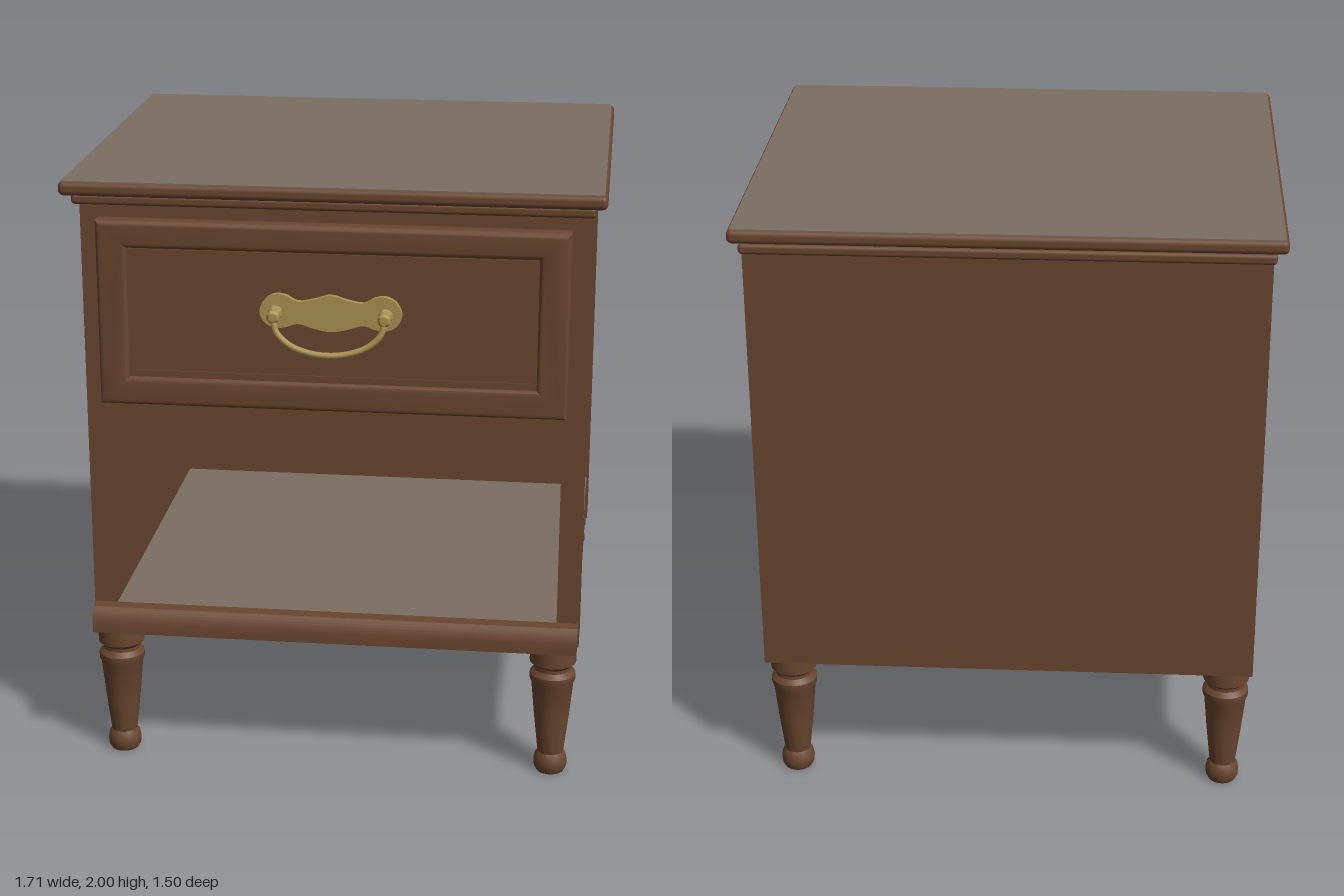
import * as THREE from 'three';
import { toCreasedNormals } from 'three/addons/utils/BufferGeometryUtils.js';
import { RoundedBoxGeometry } from 'three/addons/geometries/RoundedBoxGeometry.js';

const material = (name, color) => {
  const m = new THREE.MeshStandardMaterial({ color });
  m.name = name;
  return m;
};

export function createModel() {
  const model = new THREE.Group();
  model.name = 'nightstand';
  const wood = material('brown wood', 0x6a4630);
  const surface = material('grey brown surface', 0x7b6f62);
  const brass = material('brass', 0xab9150);

  const add = (name, geometry, mat, parent = model) => {
    const mesh = new THREE.Mesh(geometry, mat);
    mesh.name = name;
    parent.add(mesh);
    return mesh;
  };
  // Box given by its limits on each axis, with optional rounded edges
  const box = (name, [x0, x1], [y0, y1], [z0, z1], mat = wood, radius = 0) => {
    const size = [x1 - x0, y1 - y0, z1 - z0];
    const g = radius ? new RoundedBoxGeometry(...size, 3, radius) : new THREE.BoxGeometry(...size);
    g.translate((x0 + x1) / 2, (y0 + y1) / 2, (z0 + z1) / 2);
    return add(name, g, mat);
  };
  const rectangle = (target, w, y0, y1) => {
    target.moveTo(-w, y0);
    target.lineTo(w, y0);
    target.lineTo(w, y1);
    target.lineTo(-w, y1);
    target.closePath();
    return target;
  };

  // Top board with its inlaid surface, and the moulding under it
  box('topBoard', [-0.855, 0.855], [1.952, 1.998], [-0.75, 0.704], wood, 0.018);
  box('topSurface', [-0.845, 0.845], [1.993, 2], [-0.74, 0.694], surface);
  box('topMoulding', [-0.82, 0.82], [1.92, 1.954], [-0.75, 0.675], wood, 0.012);

  // Side frames: stiles, rails and a recessed panel
  for (const s of [-1, 1]) {
    const side = (a, b) => (s > 0 ? [a, b] : [-b, -a]);
    box('frontStile', side(0.735, 0.81), [0.455, 1.925], [0.44, 0.6]);
    box('backStile', side(0.735, 0.81), [0.455, 1.925], [-0.735, -0.575]);
    box('topRail', side(0.735, 0.803), [1.755, 1.925], [-0.575, 0.44]);
    box('bottomRail', side(0.735, 0.803), [0.455, 0.617], [-0.575, 0.44]);
    box('railLip', side(0.785, 0.803), [0.617, 0.62], [-0.575, 0.44], surface);
    box('sidePanel', side(0.735, 0.785), [0.617, 1.755], [-0.575, 0.44]);
  }

  // Back, drawer housing and open shelf
  box('backPanel', [-0.735, 0.735], [0.455, 1.925], [-0.735, -0.715]);
  box('drawerHousing', [-0.735, 0.735], [1.183, 1.925], [-0.715, 0.598]);
  box('shelf', [-0.735, 0.735], [0.455, 0.528], [-0.715, 0.6]);
  box('shelfSurface', [-0.735, 0.735], [0.528, 0.535], [-0.715, 0.6], surface);

  // Shelf ledge with a rounded upper front edge, profile drawn in z and y
  const ledge = new THREE.Shape();
  ledge.moveTo(0.6, 0.455);
  ledge.lineTo(0.67, 0.455);
  ledge.lineTo(0.67, 0.495);
  ledge.quadraticCurveTo(0.664, 0.525, 0.645, 0.54);
  ledge.lineTo(0.6, 0.54);
  ledge.closePath();
  const ledgeGeometry = new THREE.ExtrudeGeometry(ledge, { depth: 1.61, bevelEnabled: false, curveSegments: 5 });
  ledgeGeometry.rotateY(-Math.PI / 2).scale(1, 1, 1);
  ledgeGeometry.translate(0.805, 0, 0);
  add('shelfLedge', toCreasedNormals(ledgeGeometry, 0.6), wood);

  // Drawer front: bevelled frame around a recessed panel
  const frame = rectangle(new THREE.Shape(), 0.75, 1.262, 1.87);
  frame.holes.push(rectangle(new THREE.Path(), 0.65, 1.358, 1.78));
  const frameGeometry = new THREE.ExtrudeGeometry(frame, {
    depth: 0.034, bevelEnabled: true, bevelSize: 0.018, bevelThickness: 0.018, bevelOffset: -0.018, bevelSegments: 3,
  });
  frameGeometry.translate(0, 0, 0.618);
  add('drawerFrame', toCreasedNormals(frameGeometry, 0.6), wood);
  box('drawerPanel', [-0.655, 0.655], [1.35, 1.785], [0.6, 0.657]);
  const bead = rectangle(new THREE.Shape(), 0.65, 1.358, 1.78);
  bead.holes.push(rectangle(new THREE.Path(), 0.63, 1.38, 1.756));
  const beadGeometry = new THREE.ExtrudeGeometry(bead, { depth: 0.006, bevelEnabled: false });
  beadGeometry.translate(0, 0, 0.656);
  add('drawerBead', beadGeometry, wood);

  // Scalloped handle plate, half outline mirrored
  const handle = new THREE.Group();
  handle.name = 'drawerHandle';
  handle.position.set(0, 1.59, 0);
  model.add(handle);
  const half = [[0, 0.06], [0.05, 0.047], [0.105, 0.038], [0.14, 0.056], [0.175, 0.06], [0.208, 0.043],
    [0.226, 0], [0.208, -0.035], [0.175, -0.05], [0.14, -0.046], [0.105, -0.035], [0.05, -0.05], [0, -0.058]];
  const outline = [...half, ...half.slice(1, -1).reverse().map(([x, y]) => [-x, y])];
  const curve = new THREE.CatmullRomCurve3(outline.map(([x, y]) => new THREE.Vector3(x, y, 0)), true);
  const plate = new THREE.Shape(curve.getPoints(96).slice(0, -1).map((p) => new THREE.Vector2(p.x, p.y)));
  const plateGeometry = new THREE.ExtrudeGeometry(plate, { depth: 0.02, bevelEnabled: false });
  plateGeometry.translate(0, 0, 0.656);
  add('handlePlate', plateGeometry, brass, handle);

  // Handle posts with knobs
  const post = [[0.024, 0], [0.022, 0.01], [0.012, 0.016], [0.012, 0.034], [0.021, 0.042],
    [0.021, 0.054], [0.014, 0.062], [0, 0.063]].map(([r, y]) => new THREE.Vector2(r, y));
  const postGeometry = toCreasedNormals(new THREE.LatheGeometry(post, 20).rotateX(Math.PI / 2), 0.7);
  for (const s of [-1, 1]) add('handlePost', postGeometry, brass, handle).position.set(s * 0.175, 0, 0.674);

  // Hanging bail, swung slightly outward
  const bailHalf = [[-0.175, 0, 0.72], [-0.166, -0.045, 0.729], [-0.125, -0.085, 0.736], [-0.065, -0.108, 0.741]];
  const bailPoints = [...bailHalf, [0, -0.115, 0.744], ...[...bailHalf].reverse().map(([x, y, z]) => [-x, y, z])];
  const bailCurve = new THREE.CatmullRomCurve3(bailPoints.map((p) => new THREE.Vector3(...p)));
  add('handleBail', new THREE.TubeGeometry(bailCurve, 48, 0.01, 10), brass, handle);

  // Turned legs
  const profile = [[0, 0], [0.046, 0], [0.054, 0.015], [0.056, 0.035], [0.052, 0.057], [0.043, 0.07], [0.045, 0.085],
    [0.058, 0.2], [0.07, 0.325], [0.076, 0.338], [0.076, 0.358], [0.062, 0.374], [0.062, 0.386],
    [0.077, 0.4], [0.077, 0.458]].map(([r, y]) => new THREE.Vector2(r, y));
  const legGeometry = toCreasedNormals(new THREE.LatheGeometry(profile, 28), 0.6);
  for (const x of [-0.727, 0.727]) {
    add('frontLeg', legGeometry, wood).position.set(x, 0, 0.587);
    add('backLeg', legGeometry, wood).position.set(x, 0, -0.648);
  }
  return model;
}
